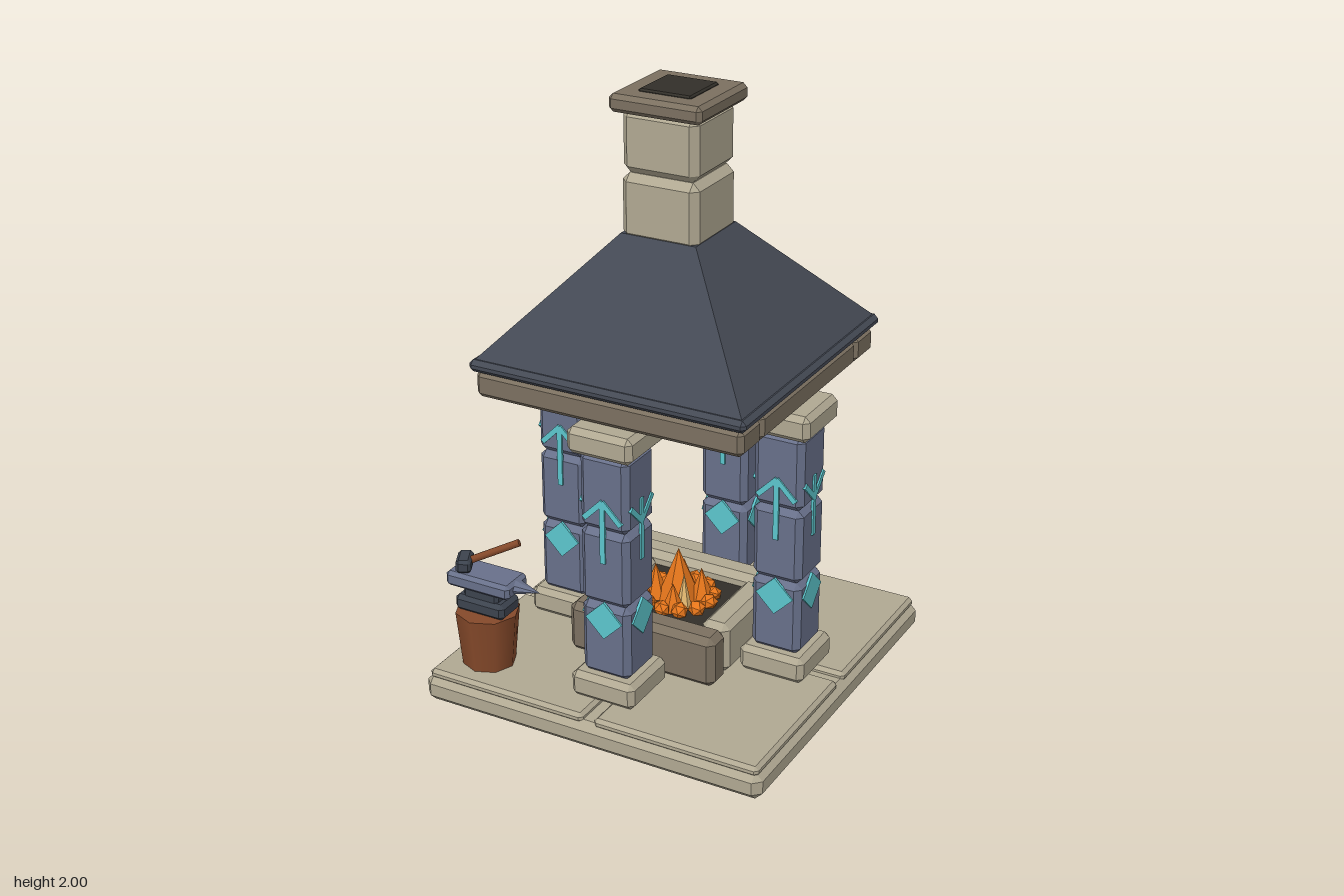
import * as THREE from 'three';
import { ConvexGeometry } from 'three/addons/geometries/ConvexGeometry.js';

const mat = (name, color, flatShading = true) => {
  const m = new THREE.MeshStandardMaterial({ color, flatShading });
  m.name = name;
  return m;
};

export function createModel() {
  const model = new THREE.Group();
  model.name = 'forgeShrine';
  const stone = mat('paleStone', 0xb0a892);
  const darkStone = mat('darkStone', 0x7b7060);
  const blue = mat('blueStone', 0x68708a);
  const slate = mat('roofSlate', 0x444954);
  const iron = mat('darkIron', 0x3c434e);
  const rune = mat('glowingRune', 0x5cc5cc);
  const wood = mat('wood', 0x85492a, false);
  const fire = mat('fire', 0xee7a1c);
  const glow = mat('fireCore', 0xffcf80);
  const soot = mat('soot', 0x322f29);

  const add = (parent, name, geo, m, x = 0, y = 0, z = 0) => {
    const mesh = new THREE.Mesh(geo, m);
    mesh.name = name;
    mesh.position.set(x, y, z);
    parent.add(mesh);
    return mesh;
  };

  // Box with all edges chamfered by b
  const block = (w, h, d, b) => {
    const pts = [];
    for (const sx of [-1, 1]) for (const sy of [-1, 1]) for (const sz of [-1, 1]) {
      const [x, y, z] = [w / 2, h / 2, d / 2];
      pts.push(new THREE.Vector3(sx * x, sy * (y - b), sz * (z - b)),
        new THREE.Vector3(sx * (x - b), sy * y, sz * (z - b)),
        new THREE.Vector3(sx * (x - b), sy * (y - b), sz * z));
    }
    return new ConvexGeometry(pts);
  };
  // Chamfered block placed by its bottom and top heights
  const stack = (parent, name, m, w, d, y0, y1, b, x = 0, z = 0) =>
    add(parent, name, block(w, y1 - y0, d, b), m, x, (y0 + y1) / 2, z);

  // Base slab and four paving tiles
  stack(model, 'baseSlab', stone, 1.22, 1.22, 0, 0.095, 0.026);
  for (const x of [-1, 1]) for (const z of [-1, 1])
    stack(model, 'pavingTile', stone, 0.575, 0.575, 0.08, 0.115, 0.012, x * 0.308, z * 0.308);

  // Rune plates: a diamond below an arrow or a forked mark
  const addRunes = (parent, forked) => {
    const diamond = add(parent, 'diamondRune', new THREE.BoxGeometry(0.092, 0.092, 0.009), rune, 0, 0.405, 0.087);
    diamond.rotation.z = Math.PI / 4;
    add(parent, 'runeStem', new THREE.BoxGeometry(0.018, 0.21, 0.009), rune, 0, 0.712, 0.087);
    for (const s of [-1, 1]) {
      const arm = add(parent, 'runeArm', new THREE.BoxGeometry(0.018, 0.095, 0.009), rune,
        s * 0.032, forked ? 0.77 : 0.785, 0.087);
      arm.rotation.z = s * (forked ? -0.78 : 0.78);
    }
  };

  // Four pillars at the middles of the sides
  for (const [x, z] of [[0.395, 0], [-0.395, 0], [0, 0.395], [0, -0.395]]) {
    const pillar = new THREE.Group();
    pillar.name = 'pillar';
    pillar.position.set(x, 0, z);
    stack(pillar, 'pillarFoot', stone, 0.228, 0.228, 0.115, 0.205, 0.018);
    for (let i = 0; i < 3; i++)
      stack(pillar, 'pillarBlock', blue, 0.172, 0.172, 0.2 + i * 0.257, 0.2 + (i + 1) * 0.257, 0.02);
    stack(pillar, 'pillarCapital', stone, 0.228, 0.228, 0.968, 1.056, 0.018);
    for (let i = 0; i < 4; i++) {
      const face = new THREE.Group();
      face.name = 'pillarRunes';
      face.rotation.y = i * Math.PI / 2;
      addRunes(face, i % 2 === 1);
      pillar.add(face);
    }
    model.add(pillar);
  }

  // Beams under the roof
  for (const s of [-1, 1]) {
    stack(model, 'crossBeam', darkStone, 0.925, 0.13, 1.06, 1.147, 0.016, 0, s * 0.397);
    stack(model, 'sideBeam', darkStone, 0.13, 0.66, 1.06, 1.147, 0.016, s * 0.397, 0);
  }

  // Roof: eaves and a square frustum
  stack(model, 'eaves', slate, 0.955, 0.955, 1.147, 1.187, 0.014);
  const frustum = new THREE.CylinderGeometry(0.13 * Math.SQRT2, 0.465 * Math.SQRT2, 0.37, 4);
  frustum.rotateY(Math.PI / 4);
  add(model, 'roof', frustum, slate, 0, 1.365, 0);

  // Chimney
  stack(model, 'chimneyBlock', stone, 0.265, 0.265, 1.53, 1.742, 0.024);
  stack(model, 'chimneyBlock', stone, 0.26, 0.26, 1.742, 1.945, 0.024);
  stack(model, 'chimneyCap', darkStone, 0.315, 0.315, 1.935, 1.992, 0.014);
  stack(model, 'flue', soot, 0.18, 0.18, 1.97, 2, 0.006);

  // Fire pit
  for (const s of [-1, 1]) {
    stack(model, 'pitEndStone', s > 0 ? darkStone : stone, 0.535, 0.1, 0.11, 0.288, 0.022, 0, s * 0.216);
    stack(model, 'pitSideStone', stone, 0.1, 0.325, 0.11, 0.288, 0.022, s * 0.216, 0);
  }
  add(model, 'coalBed', new THREE.BoxGeometry(0.35, 0.13, 0.35), soot, 0, 0.18, 0);
  for (let i = 0; i < 12; i++) {
    const a = i * Math.PI / 6;
    const ember = add(model, 'ember', new THREE.IcosahedronGeometry(0.03, 0), fire,
      0.115 * Math.cos(a), 0.262, 0.115 * Math.sin(a));
    ember.rotation.set(a, a * 2, 0);
    ember.scale.y = 0.85;
  }
  // Flames: x, z, radius, height
  for (const [x, z, r, h] of [[0, 0, 0.075, 0.19], [-0.075, 0.02, 0.045, 0.125],
    [0.07, -0.03, 0.045, 0.12], [0.02, 0.075, 0.04, 0.1], [-0.02, -0.075, 0.042, 0.11]])
    add(model, 'flame', new THREE.ConeGeometry(r, h, 6), fire, x, 0.242 + h / 2, z);
  add(model, 'flameCore', new THREE.ConeGeometry(0.026, 0.13, 6), glow, 0.045, 0.307, 0.045);

  // Stump with anvil
  const smithy = new THREE.Group();
  smithy.name = 'anvilStand';
  smithy.position.set(-0.457, 0, 0.45);
  model.add(smithy);
  add(smithy, 'stump', new THREE.CylinderGeometry(0.106, 0.088, 0.19, 8), wood, 0, 0.21, 0);
  stack(smithy, 'anvilFoot', iron, 0.185, 0.11, 0.303, 0.36, 0.014);
  stack(smithy, 'anvilWaist', iron, 0.13, 0.085, 0.345, 0.4, 0.01);
  stack(smithy, 'anvilBody', blue, 0.24, 0.122, 0.388, 0.441, 0.012);
  const horn = new THREE.ConeGeometry(0.042, 0.11, 8);
  horn.rotateZ(-Math.PI / 2);
  horn.scale(1, 0.62, 1);
  add(smithy, 'anvilHorn', horn, blue, 0.148, 0.416, 0);

  // Hammer resting on the anvil
  const head = add(smithy, 'hammerHead', block(0.05, 0.046, 0.09, 0.01), iron, -0.072, 0.465, 0.014);
  head.rotation.y = 0.45;
  const from = new THREE.Vector3(-0.075, 0.462, 0.014), to = new THREE.Vector3(0.09, 0.54, -0.062);
  const handle = add(smithy, 'hammerHandle', new THREE.CylinderGeometry(0.012, 0.012, from.distanceTo(to), 8), wood);
  handle.position.copy(from).lerp(to, 0.5);
  handle.quaternion.setFromUnitVectors(new THREE.Vector3(0, 1, 0), to.clone().sub(from).normalize());

  return model;
}
